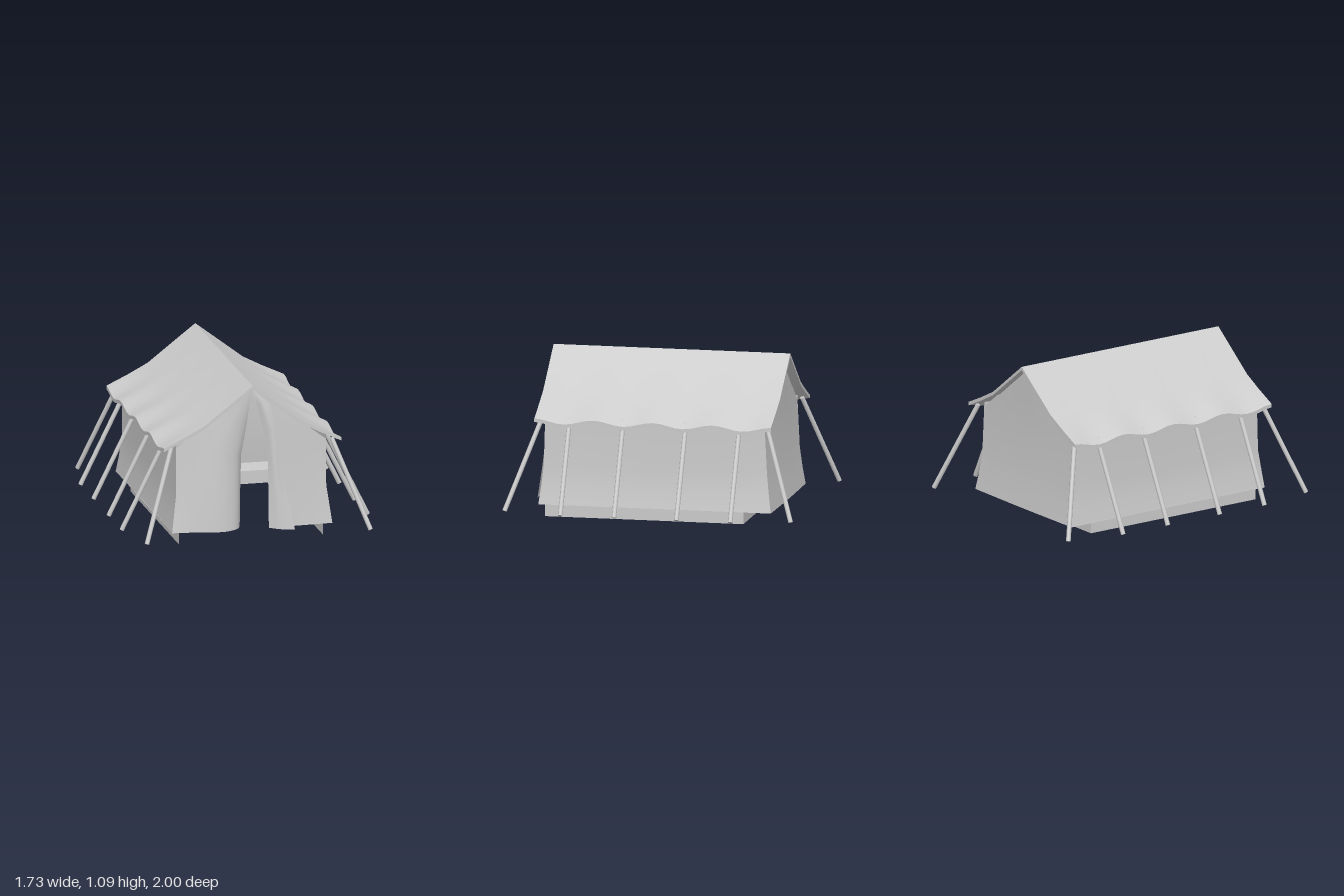
import * as THREE from 'three';
import { toCreasedNormals } from 'three/addons/utils/BufferGeometryUtils.js';

const material = new THREE.MeshStandardMaterial({ color: 0xcccccc, side: THREE.DoubleSide });
const V = (p) => new THREE.Vector3(...p);
const mirrorX = (rows, s) => rows.map((r) => r.map(([x, y, z]) => [x * s, y, z]));

// Surface through rows of points: each row is smoothed with a curve (or kept
// as given when steps is 0), neighbouring rows are joined straight.
function sheet(name, rows, steps = 0, crease = 0.7) {
  const lines = rows.map((r) => steps ? new THREE.CatmullRomCurve3(r.map(V)).getPoints(steps) : r.map(V));
  const n = lines[0].length;
  const index = [];
  for (let j = 0; j < lines.length - 1; j++) {
    for (let i = 0; i < n - 1; i++) {
      const a = j * n + i, b = a + 1, c = a + n, d = c + 1;
      index.push(a, b, d, a, d, c);
    }
  }
  let geometry = new THREE.BufferGeometry().setFromPoints(lines.flat());
  geometry.setIndex(index);
  geometry = toCreasedNormals(geometry, crease);
  const mesh = new THREE.Mesh(geometry, material);
  mesh.name = name;
  return mesh;
}

function createRoof() {
  const roof = new THREE.Group();
  roof.name = 'roof';
  const thick = 0.024;
  // Cross-section at z, eaves scalloped between the ropes
  const section = (z, drop) => {
    const wave = 0.017 * Math.cos((2 * Math.PI * z) / 0.41);
    const half = [[0.615, 0.672 + wave], [0.47, 0.75 + wave * 0.4], [0.33, 0.83]];
    return [
      ...half.map(([x, y]) => [-x, y - drop, z]),
      [0, 1.085 - drop, z],
      ...half.reverse().map(([x, y]) => [x, y - drop, z]),
    ];
  };
  const rows = [];
  const count = 32, end = 0.815;
  for (let i = 0; i <= count; i++) {
    const z = -end + (2 * end * i) / count;
    const top = section(z, 0);
    rows.push([...top, ...section(z, thick).reverse(), top[0]]);
  }
  roof.add(sheet('roofCloth', rows, 0, 0.5));
  for (const z of [-end, end]) {
    roof.add(sheet('roofEdge', [section(z, 0), section(z, thick)]));
  }
  return roof;
}

function createWalls() {
  const walls = new THREE.Group();
  walls.name = 'walls';

  // Side walls flare out toward the ground
  const side = [
    [[0.555, 0.09, 0.8], [0.55, 0.09, 0], [0.555, 0.09, -0.8]],
    [[0.535, 0.21, 0.785], [0.53, 0.21, 0], [0.535, 0.21, -0.783]],
    [[0.52, 0.35, 0.77], [0.52, 0.35, 0], [0.52, 0.35, -0.767]],
    [[0.52, 0.7, 0.76], [0.52, 0.7, 0], [0.52, 0.7, -0.75]],
  ];
  walls.add(sheet('leftWall', side, 8), sheet('rightWall', mirrorX(side, -1), 8));

  // Closed gable at the back
  const back = [[0.555, 0.09, -0.8], [0.535, 0.21, -0.783], [0.52, 0.35, -0.767],
    [0.52, 0.67, -0.75], [0.26, 0.87, -0.752], [0, 1.07, -0.755]]
    .map(([x, y, z]) => [[-x, y, z], [0, y, z - 0.005], [x, y, z]]);
  walls.add(sheet('backWall', back, 12));

  // Front half with its free edge curling into the tent
  const curled = [
    [[-0.555, 0.09, 0.8], [-0.38, 0.09, 0.82], [-0.2, 0.085, 0.832], [-0.1, 0.088, 0.79], [-0.06, 0.09, 0.69]],
    [[-0.52, 0.35, 0.77], [-0.38, 0.35, 0.8], [-0.2, 0.35, 0.82], [-0.1, 0.35, 0.78], [-0.06, 0.35, 0.705]],
    [[-0.52, 0.67, 0.76], [-0.37, 0.64, 0.78], [-0.2, 0.62, 0.8], [-0.1, 0.6, 0.775], [-0.06, 0.59, 0.73]],
    [[-0.26, 0.87, 0.775], [-0.19, 0.85, 0.785], [-0.12, 0.84, 0.79], [-0.06, 0.83, 0.78], [-0.028, 0.82, 0.765]],
    Array(5).fill([0, 1.07, 0.785]),
  ];
  walls.add(sheet('frontWallRight', curled, 16, 1));

  // Other front half, straight up to the door fold
  const plain = [
    [[0.555, 0.09, 0.8], [0.33, 0.09, 0.81], [0.11, 0.09, 0.82]],
    [[0.52, 0.35, 0.77], [0.32, 0.35, 0.79], [0.11, 0.35, 0.805]],
    [[0.52, 0.67, 0.76], [0.32, 0.62, 0.78], [0.11, 0.58, 0.795]],
    [[0.26, 0.87, 0.775], [0.16, 0.84, 0.785], [0.06, 0.82, 0.79]],
    Array(3).fill([0, 1.07, 0.785]),
  ];
  walls.add(sheet('frontWallLeft', plain, 12, 1));

  // Door flap turned back over that half
  const flap = [
    [[0.11, 0.09, 0.82], [0.19, 0.085, 0.86], [0.28, 0.08, 0.865]],
    [[0.11, 0.3, 0.808], [0.17, 0.3, 0.848], [0.235, 0.29, 0.842]],
    [[0.11, 0.57, 0.795], [0.15, 0.52, 0.83], [0.188, 0.5, 0.82]],
    [[0.07, 0.78, 0.79], [0.13, 0.78, 0.82], [0.18, 0.77, 0.808]],
    [[0.03, 0.95, 0.787], [0.07, 0.955, 0.808], [0.115, 0.955, 0.798]],
    Array(3).fill([0.005, 1.06, 0.787]),
  ];
  walls.add(sheet('doorFlap', flap, 10, 1));
  return walls;
}

function createSkirt() {
  const skirt = new THREE.Group();
  skirt.name = 'groundSkirt';
  // U-shaped band, open at the doorway, with a ledge out to the walls
  const path = (x, y, zBack, zFront) => [[-x, y, zFront], [-x, y, zBack], [x, y, zBack], [x, y, zFront]];
  const top = path(0.5, 0.09, -0.6, 0.765);
  skirt.add(sheet('skirtBand', [path(0.5, 0, -0.6, 0.765), top]));
  skirt.add(sheet('skirtLedge', [top, path(0.553, 0.091, -0.8, 0.78)]));
  return skirt;
}

function createRopes() {
  const ropes = new THREE.Group();
  ropes.name = 'guyRopes';
  const addRope = (name, from, to) => {
    const a = V(from), b = V(to), dir = b.clone().sub(a);
    const rope = new THREE.Mesh(new THREE.CylinderGeometry(0.016, 0.016, dir.length(), 8), material);
    rope.name = name;
    rope.position.copy(a).add(b).multiplyScalar(0.5);
    rope.quaternion.setFromUnitVectors(new THREE.Vector3(0, 1, 0), dir.normalize());
    ropes.add(rope);
  };
  for (const s of [-1, 1]) {
    for (const z of [-0.585, -0.215, 0.215, 0.585]) {
      addRope('sideRope', [s * 0.55, 0.685, z], [s * 0.852, 0.075, z]);
    }
    for (const e of [-1, 1]) {
      addRope('cornerRope', [s * 0.555, 0.68, e * 0.775], [s * 0.775, 0.078, e * 0.985]);
    }
  }
  return ropes;
}

export function createModel() {
  const tent = new THREE.Group();
  tent.name = 'tent';
  tent.add(createRoof(), createWalls(), createSkirt(), createRopes());
  return tent;
}
